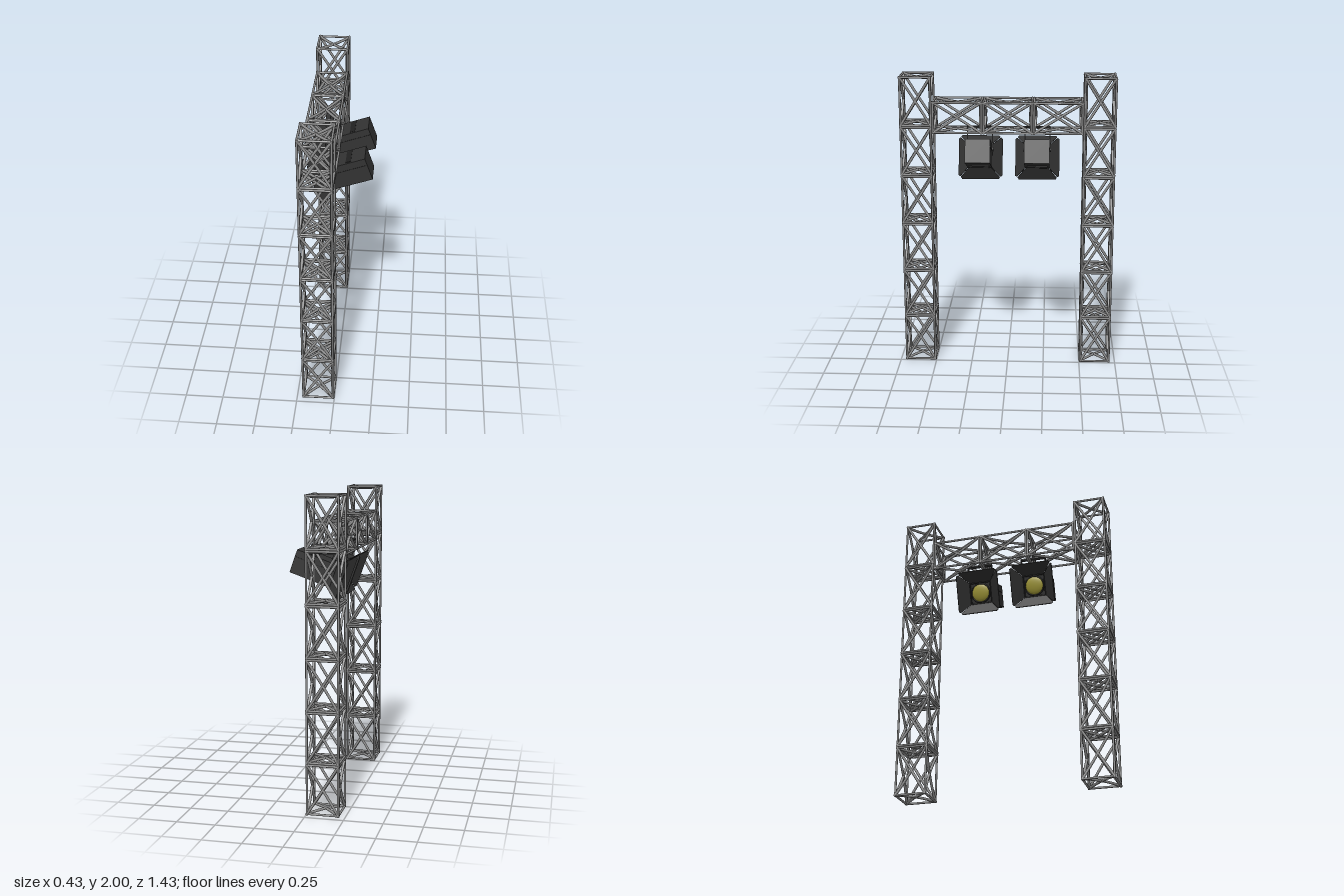
import * as THREE from 'three';
import { mergeGeometries } from 'three/addons/utils/BufferGeometryUtils.js';

const WIDTH = 0.215, BAY = 1 / 3, R = 0.0075;
const steel = new THREE.MeshStandardMaterial({ color: 0x8c8c8c });
const black = new THREE.MeshStandardMaterial({ color: 0x333333 });
const darker = new THREE.MeshStandardMaterial({ color: 0x222222 });
const glass = new THREE.MeshStandardMaterial({ color: 0xa89f3a });

function add(parent, name, geometry, material, x = 0, y = 0, z = 0) {
  const mesh = new THREE.Mesh(geometry, material);
  mesh.name = name;
  mesh.position.set(x, y, z);
  parent.add(mesh);
  return mesh;
}

// One truss bay along y: twelve round edges, and a cross bowed inwards on all six faces
function bayGeometry() {
  const size = [WIDTH, BAY, WIDTH];
  const half = size.map(s => s / 2 - R);
  const parts = [];
  for (let axis = 0; axis < 3; axis++) {
    const u = (axis + 1) % 3, v = (axis + 2) % 3;
    for (const su of [-1, 1]) for (const sv of [-1, 1]) {
      const edge = new THREE.CylinderGeometry(R, R, size[axis], 8);
      if (axis === 0) edge.rotateZ(Math.PI / 2);
      if (axis === 2) edge.rotateX(Math.PI / 2);
      const p = [0, 0, 0];
      p[u] = su * half[u];
      p[v] = sv * half[v];
      parts.push(edge.translate(...p));
    }
    for (const side of [-1, 1]) for (const slant of [-1, 1]) {
      const a = [0, 0, 0], b = [0, 0, 0], mid = [0, 0, 0];
      a[axis] = b[axis] = side * half[axis];
      mid[axis] = side * (half[axis] - 0.021);
      a[u] = -half[u]; b[u] = half[u];
      a[v] = -slant * half[v]; b[v] = slant * half[v];
      const curve = new THREE.QuadraticBezierCurve3(
        new THREE.Vector3(...a), new THREE.Vector3(...mid), new THREE.Vector3(...b));
      parts.push(new THREE.TubeGeometry(curve, 8, 0.009, 8));
    }
  }
  return mergeGeometries(parts);
}

// Flared flap with clipped corners, hinged along its short edge
function flapGeometry() {
  const shape = new THREE.Shape([
    [-0.072, 0], [0.072, 0], [0.132, 0.09], [0.124, 0.105], [-0.124, 0.105], [-0.132, 0.09],
  ].map(p => new THREE.Vector2(...p)));
  return new THREE.ExtrudeGeometry(shape, { depth: 0.005, bevelEnabled: false });
}

function createLamp() {
  const lamp = new THREE.Group();
  lamp.name = 'floodlight';

  // Head shines along its own -x and tilts down
  const head = new THREE.Group();
  head.name = 'lampHead';
  head.position.set(-0.078, 1.457, 0);
  head.rotation.z = 0.342;
  lamp.add(head);
  add(head, 'housing', new THREE.BoxGeometry(0.28, 0.156, 0.163), black, 0.14);
  add(head, 'topHatch', new THREE.BoxGeometry(0.035, 0.004, 0.135), darker, 0.17, 0.078);
  for (let i = 0; i < 5; i++)
    add(head, 'coolingSlat', new THREE.BoxGeometry(0.008, 0.006, 0.13), darker, 0.03 + i * 0.022, -0.079);
  for (const s of [-1, 1])
    add(head, 'sideSeam', new THREE.BoxGeometry(0.27, 0.004, 0.002), darker, 0.14, 0.03, s * 0.082);

  // Lens with its rim
  const lens = new THREE.SphereGeometry(0.062, 24, 8, 0, Math.PI * 2, 0, Math.PI / 2);
  lens.scale(1, 0.25, 1).rotateZ(Math.PI / 2);
  add(head, 'lens', lens, glass, -0.001);
  add(head, 'lensRim', new THREE.TorusGeometry(0.065, 0.006, 8, 24).rotateY(Math.PI / 2), darker);

  // Four barn doors around the opening
  const flap = flapGeometry();
  for (let i = 0; i < 4; i++) {
    const hinge = new THREE.Group();
    hinge.name = 'barnDoor';
    hinge.rotation.x = i * Math.PI / 2;
    head.add(hinge);
    const door = add(hinge, 'barnDoorFlap', flap, black, 0, 0.072, 0);
    door.rotation.set(0, Math.PI / 2, 0.8, 'ZYX');
    const pin = add(hinge, 'hingePin', new THREE.CylinderGeometry(0.005, 0.005, 0.14, 8), darker, 0, 0.073, 0);
    pin.rotation.x = Math.PI / 2;
  }

  // Yoke that hangs the head from the beam
  for (const s of [-1, 1]) {
    const arm = add(lamp, 'yokeArm', new THREE.BoxGeometry(0.025, 0.165, 0.006), black, -0.085, 1.57, s * 0.084);
    arm.rotation.z = 0.3;
    const knob = add(lamp, 'tiltKnob', new THREE.CylinderGeometry(0.015, 0.015, 0.008, 12), darker, -0.063, 1.505, s * 0.086);
    knob.rotation.x = Math.PI / 2;
  }
  add(lamp, 'yokeBridge', new THREE.BoxGeometry(0.03, 0.008, 0.174), black, -0.108, 1.65, 0);
  return lamp;
}

export function createModel() {
  const model = new THREE.Group();
  model.name = 'lightingTruss';
  const bay = bayGeometry();
  const cx = -WIDTH / 2;

  // Two towers of six bays
  for (const s of [-1, 1]) {
    const tower = new THREE.Group();
    tower.name = s > 0 ? 'frontTower' : 'backTower';
    for (let i = 0; i < 6; i++)
      add(tower, 'towerBay', bay, steel, cx, (i + 0.5) * BAY, s * 0.6075);
    model.add(tower);
  }

  // Cross beam of three bays
  const beam = new THREE.Group();
  beam.name = 'crossBeam';
  for (let i = -1; i <= 1; i++)
    add(beam, 'beamBay', bay, steel, cx, 1.7275, i * BAY).rotation.x = Math.PI / 2;
  model.add(beam);

  // Two floodlights under the beam
  for (const z of [0.187, -0.196]) {
    const lamp = createLamp();
    lamp.position.z = z;
    model.add(lamp);
  }
  return model;
}
